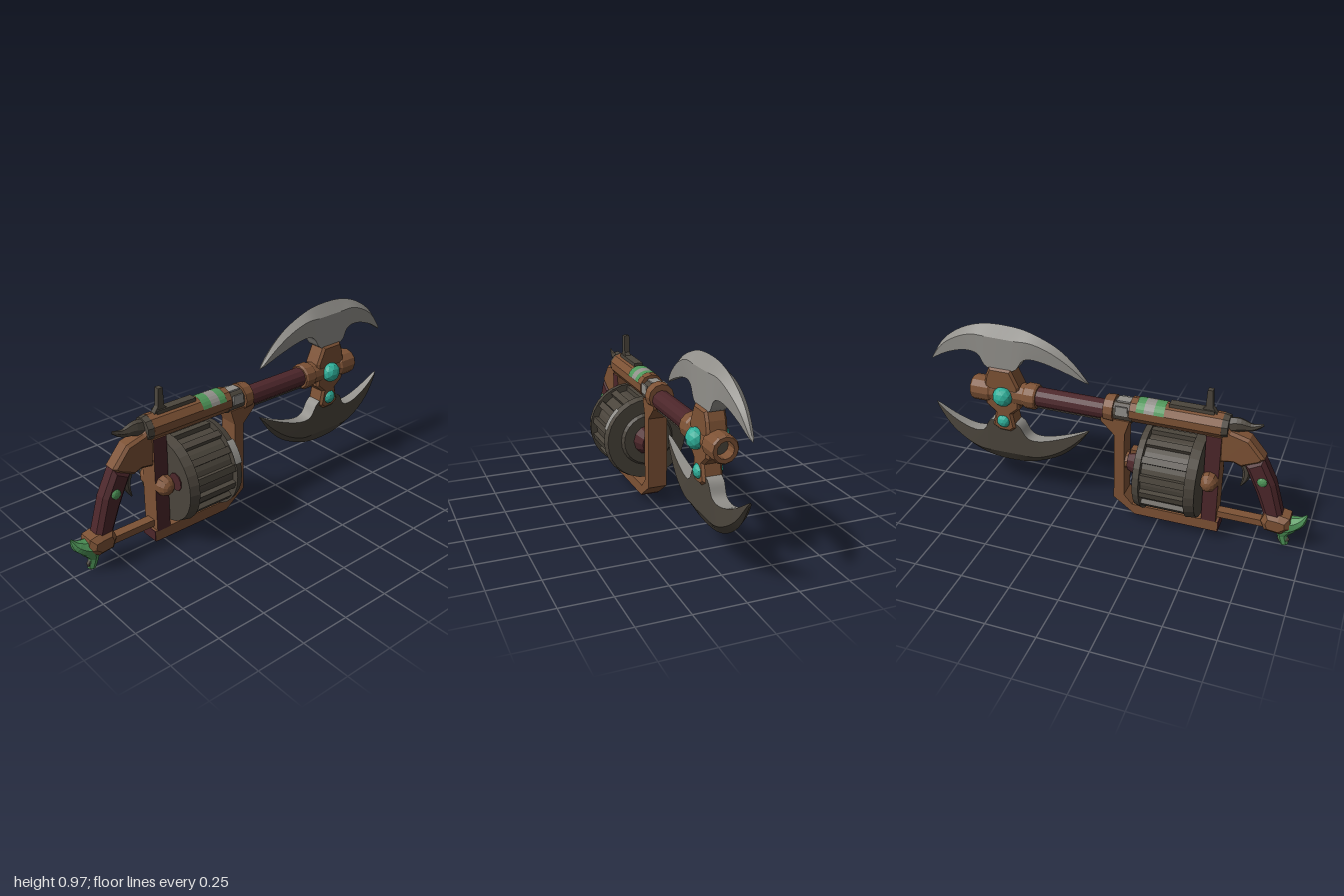
import * as THREE from 'three';

const mat = (name, color, side = THREE.FrontSide) => {
  const m = new THREE.MeshStandardMaterial({ color, side });
  m.name = name;
  return m;
};

export function createModel() {
  const root = new THREE.Group();
  root.name = 'axeBladedLauncher';
  const wood = mat('brown wood', 0x7d5235);
  const maroon = mat('dark maroon', 0x4c262a);
  const iron = mat('dark iron', 0x4b453c);
  const steel = mat('light steel', 0x92908b);
  const green = mat('green', 0x4f9659);
  const teal = mat('teal gem', 0x2fb09a);

  const add = (name, geo, material, x = 0, y = 0, z = 0) => {
    const m = new THREE.Mesh(geo, material);
    m.name = name;
    m.position.set(x, y, z);
    root.add(m);
    return m;
  };
  const flat = (geo) => {
    const g = geo.index ? geo.toNonIndexed() : geo;
    g.computeVertexNormals();
    return g;
  };
  const box = (name, m, w, h, d, x, y, z) => add(name, new THREE.BoxGeometry(w, h, d), m, x, y, z);
  // cylinder along z, r0 at the front-facing (+z) end
  const rod = (name, m, r0, r1, z0, z1, y, sides = 12) =>
    add(name, flat(new THREE.CylinderGeometry(r0, r1, z0 - z1, sides).rotateX(Math.PI / 2)), m, 0, y, (z0 + z1) / 2);
  // side profile given as (z, y) points, extruded across x
  const slab = (name, m, pts, width, bevel = 0) => {
    const shape = new THREE.Shape(pts.map(([z, y]) => new THREE.Vector2(z, y)));
    const depth = width - 2 * bevel;
    const g = new THREE.ExtrudeGeometry(shape, {
      depth, bevelEnabled: bevel > 0, bevelThickness: bevel, bevelSize: bevel, bevelOffset: -bevel, bevelSegments: 1,
    });
    g.translate(0, 0, -depth / 2).rotateY(-Math.PI / 2);
    return add(name, g, m);
  };
  // tube through (z, y) points whose radius follows a list of values
  const horn = (name, m, pts, radii, flatX = 1) => {
    const curve = new THREE.CatmullRomCurve3(pts.map(([z, y]) => new THREE.Vector3(0, y, z)));
    const n = 12, sides = 7;
    const g = new THREE.TubeGeometry(curve, n, 1, sides);
    const p = g.attributes.position, v = new THREE.Vector3();
    for (let i = 0; i <= n; i++) {
      const c = curve.getPointAt(i / n);
      const f = (i / n) * (radii.length - 1), k = Math.min(Math.floor(f), radii.length - 2);
      const r = THREE.MathUtils.lerp(radii[k], radii[k + 1], f - k);
      for (let j = 0; j <= sides; j++) {
        const q = i * (sides + 1) + j;
        v.fromBufferAttribute(p, q).sub(c).multiplyScalar(r).add(c);
        p.setXYZ(q, v.x * flatX, v.y, v.z);
      }
    }
    return add(name, flat(g), m);
  };

  // crescent blades: inner edge, ridge and cutting edge joined by strips
  const N = 36;
  const spline = (pts) => new THREE.SplineCurve(pts.map(([z, y]) => new THREE.Vector2(z, y))).getPoints(N);
  const inner = spline([[-.125, .72], [-.25, .775], [-.38, .815], [-.46, .81], [-.52, .74], [-.66, .74], [-.71, .805], [-.79, .813], [-.9, .775], [-1, .715]]);
  const outer = spline([[-.125, .72], [-.2, .815], [-.29, .89], [-.4, .94], [-.5, .965], [-.64, .968], [-.75, .945], [-.85, .895], [-.93, .825], [-1, .715]]);
  const strip = (A, B) => {
    const pos = [], idx = [];
    for (let i = 0; i <= N; i++) {
      pos.push(...A[i], ...B[i]);
      const a = 2 * i;
      if (i < N) idx.push(a, a + 2, a + 3, a, a + 3, a + 1);
    }
    const g = new THREE.BufferGeometry();
    g.setAttribute('position', new THREE.Float32BufferAttribute(pos, 3));
    g.setIndex(idx);
    g.computeVertexNormals();
    return g;
  };
  const blade = (name, lower, sideMat) => {
    const line = (mix, sx) => inner.map((p, i) => {
      const q = p.clone().lerp(outer[i], mix);
      const w = 0.039 * Math.pow(Math.max(0, Math.sin(Math.PI * i / N)), 0.6);
      return [sx * w, lower ? 0.18 + (0.97 - q.y) * 1.1 : q.y, q.x];
    });
    const rails = [line(0, 1), line(.75, 1), line(1, 0), line(.75, -1), line(0, -1)];
    rails.forEach((a, k) => {
      const b = rails[(k + 1) % 5];
      add(name + (k === 4 ? 'InnerEdge' : 'Face'), lower ? strip(b, a) : strip(a, b), k === 4 ? steel : sideMat);
    });
  };
  blade('upperBlade', false, steel);
  blade('lowerBlade', true, iron);

  // axe head: hollow muzzle sleeve, blade mount and gems
  const sleeve = [[0, -.70], [.04, -.70], [.04, -.76], [.06, -.76], [.067, -.75], [.067, -.66], [.06, -.65], [.06, -.47], [.067, -.46], [.067, -.41], [.06, -.40], [0, -.40]];
  add('muzzleSleeve', flat(new THREE.LatheGeometry(sleeve.map(([r, z]) => new THREE.Vector2(r, z)), 12).rotateX(Math.PI / 2)), wood, 0, .597, 0);
  rod('muzzleBore', iron, .038, .038, -.69, -.705, .597);
  slab('bladeMount', wood, [[-.53, .745], [-.51, .70], [-.49, .655], [-.49, .53], [-.535, .49], [-.52, .41], [-.55, .385], [-.61, .385], [-.65, .41], [-.63, .49], [-.68, .53], [-.68, .655], [-.67, .70], [-.65, .745]], .1, .012);
  for (const s of [1, -1]) {
    const big = add('largeGem', flat(new THREE.IcosahedronGeometry(.053, 1)), teal, s * .06, .597, -.575);
    big.scale.x = .8;
    const small = add('smallGem', flat(new THREE.IcosahedronGeometry(.037, 1)), teal, s * .045, .445, -.585);
    small.scale.x = .7;
  }

  // barrel and receiver
  rod('barrel', maroon, .05, .05, -.02, -.41, .60);
  box('barrelUnderStrip', iron, .045, .008, .37, 0, .55, -.215);
  rod('barrelCollar', wood, .07, .066, .015, -.035, .615);
  rod('barrelBand', iron, .056, .056, .11, .01, .615);
  box('bandTopPlate', steel, .05, .008, .07, 0, .672, .06);
  for (const s of [1, -1]) box('bandSidePlate', steel, .008, .05, .06, s * .055, .635, .06);
  rod('receiver', wood, .064, .064, .555, .10, .63, 10);
  rod('receiverRearCap', iron, .058, .064, .585, .55, .63, 10);
  // painted wrap over the top of the receiver
  for (const [z, w, m] of [[.155, .04, green], [.2, .05, steel], [.25, .05, green]]) {
    const wrap = new THREE.CylinderGeometry(.067, .067, w, 10, 1, true, Math.PI * .6, Math.PI * .8).rotateX(Math.PI / 2);
    add('paintedWrap', flat(wrap), m, 0, .63, z);
  }
  box('topRail', iron, .045, .02, .22, 0, .695, .40);
  slab('rearSight', iron, [[.53, .68], [.50, .72], [.495, .81], [.47, .81], [.465, .72], [.43, .68]], .028);
  horn('hammer', iron, [[.745, .668], [.69, .645], [.63, .648], [.56, .63]], [.006, .022, .04, .045], .65);

  // guard frame around the drum
  slab('guardFrame', wood, [[.57, .035], [.13, .035], [.02, .115], [.02, .49], [-.05, .56], [-.05, .58], [.10, .58], [.075, .50], [.075, .14], [.12, .09], [.57, .09]], .1);
  box('guardSole', maroon, .098, .006, .44, 0, .034, .35);
  box('guardRearFace', maroon, .098, .055, .006, 0, .0625, .571);
  box('rearPlate', [maroon, maroon, wood, wood, wood, wood], .1, .50, .075, 0, .335, .522);
  box('lowerBar', wood, .05, .035, .29, 0, .122, .70);

  // revolving drum with rims and slats
  const dy = .328;
  rod('drumCore', iron, .19, .19, .46, .19, dy, 28);
  rod('drumRearRim', iron, .215, .225, .48, .43, dy, 28);
  rod('drumFrontRim', iron, .225, .215, .205, .17, dy, 28);
  rod('drumFrontFace', iron, .15, .13, .18, .155, dy, 28);
  for (let i = 0; i < 14; i++) {
    const a = (i / 14) * Math.PI * 2;
    const slat = box('drumSlat', iron, .034, .03, .24, Math.sin(a) * .198, dy + Math.cos(a) * .198, .318);
    slat.rotation.z = -a;
  }
  const rimPatch = new THREE.CylinderGeometry(.229, .229, .04, 6, 1, true, Math.PI * .60, Math.PI * .17).rotateX(Math.PI / 2);
  add('rimSteelPatch', rimPatch, steel, 0, dy, .192);
  add('drumStain', new THREE.CylinderGeometry(.045, .045, .006, 10).rotateX(Math.PI / 2), maroon, .105, .36, .482);

  // hubs on both ends of the drum
  const hub = add('rearHub', flat(new THREE.CapsuleGeometry(.052, .12, 4, 10).rotateZ(Math.PI / 2)), wood, 0, .333, .515);
  hub.scale.z = .9;
  rod('frontHub', maroon, .085, .055, .17, .09, dy);
  rod('frontAxle', wood, .045, .05, .10, .03, dy, 10);
  box('axleLatch', wood, .05, .08, .05, 0, .365, .125);

  // grip, trigger and pommel
  slab('gripShoulder', wood, [[.55, .67], [.60, .62], [.69, .595], [.77, .50], [.75, .475], [.66, .435], [.62, .45], [.55, .44]], .085, .014);
  slab('grip', maroon, [[.765, .50], [.83, .37], [.885, .18], [.80, .155], [.745, .30], [.675, .45]], .09, .02);
  for (const s of [1, -1]) {
    const stud = add('gripStud', flat(new THREE.IcosahedronGeometry(.026, 1)), green, s * .043, .378, .77);
    stud.scale.x = .5;
  }
  horn('trigger', iron, [[.655, .47], [.685, .40], [.68, .35], [.66, .305]], [.024, .024, .018, .004], .7);
  slab('pommel', wood, [[.80, .205], [.78, .15], [.80, .10], [.88, .09], [.93, .13], [.92, .19], [.87, .20]], .125, .025);
  horn('upperClaw', green, [[.86, .13], [.93, .14], [.975, .17], [.998, .21]], [.05, .045, .028, .003], 1.1);
  horn('lowerClaw', green, [[.92, .16], [.90, .11], [.89, .07], [.905, .012]], [.045, .048, .026, .02], .85);
  horn('clawTip', iron, [[.885, .06], [.90, .035], [.91, .004]], [.026, .03, .006], .5);
  horn('sideClaw', green, [[.91, .13], [.865, .10], [.85, .065]], [.04, .028, .004], .9);
  return root;
}
